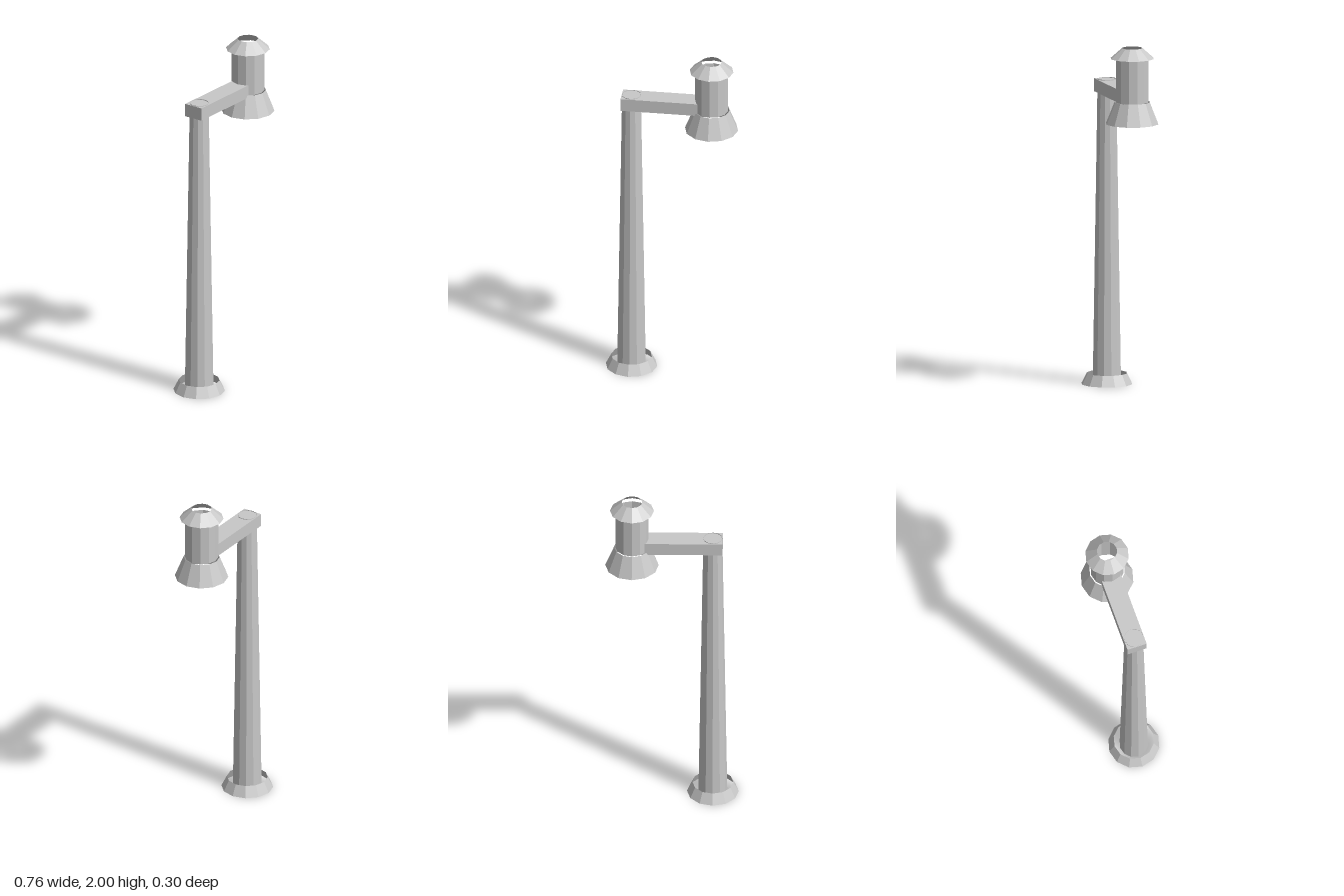
import * as THREE from 'three';

const SIDES = 12;
const POLE_X = -0.233;
const LAMP_X = 0.226;

export function createModel() {
  const model = new THREE.Group();
  model.name = 'streetLamp';

  const metal = new THREE.MeshStandardMaterial({
    color: 0xc8c8c8, flatShading: true, side: THREE.DoubleSide,
  });
  metal.name = 'grey metal';

  // Open twelve-sided tube between two heights
  function tube(name, x, rBottom, rTop, y0, y1) {
    const geometry = new THREE.CylinderGeometry(rTop, rBottom, y1 - y0, SIDES, 1, true);
    const mesh = new THREE.Mesh(geometry, metal);
    mesh.name = name;
    mesh.position.set(x, (y0 + y1) / 2, 0);
    model.add(mesh);
  }

  // Post: flared foot ring and tapered pole poking just through the arm
  tube('footRing', POLE_X, 0.147, 0.116, 0, 0.062);
  tube('pole', POLE_X, 0.082, 0.054, 0, 1.754);

  // Horizontal arm reaching into the lamp housing
  const arm = new THREE.Mesh(new THREE.BoxGeometry(0.553, 0.075, 0.115), metal);
  arm.name = 'arm';
  arm.position.set(-0.0125, 1.7125, 0);
  model.add(arm);

  // Lamp head: flared shade, housing and open cap
  tube('shade', LAMP_X, 0.152, 0.102, 1.565, 1.69);
  tube('housing', LAMP_X, 0.095, 0.095, 1.69, 1.94);
  tube('cap', LAMP_X, 0.125, 0.058, 1.94, 2);

  return model;
}
